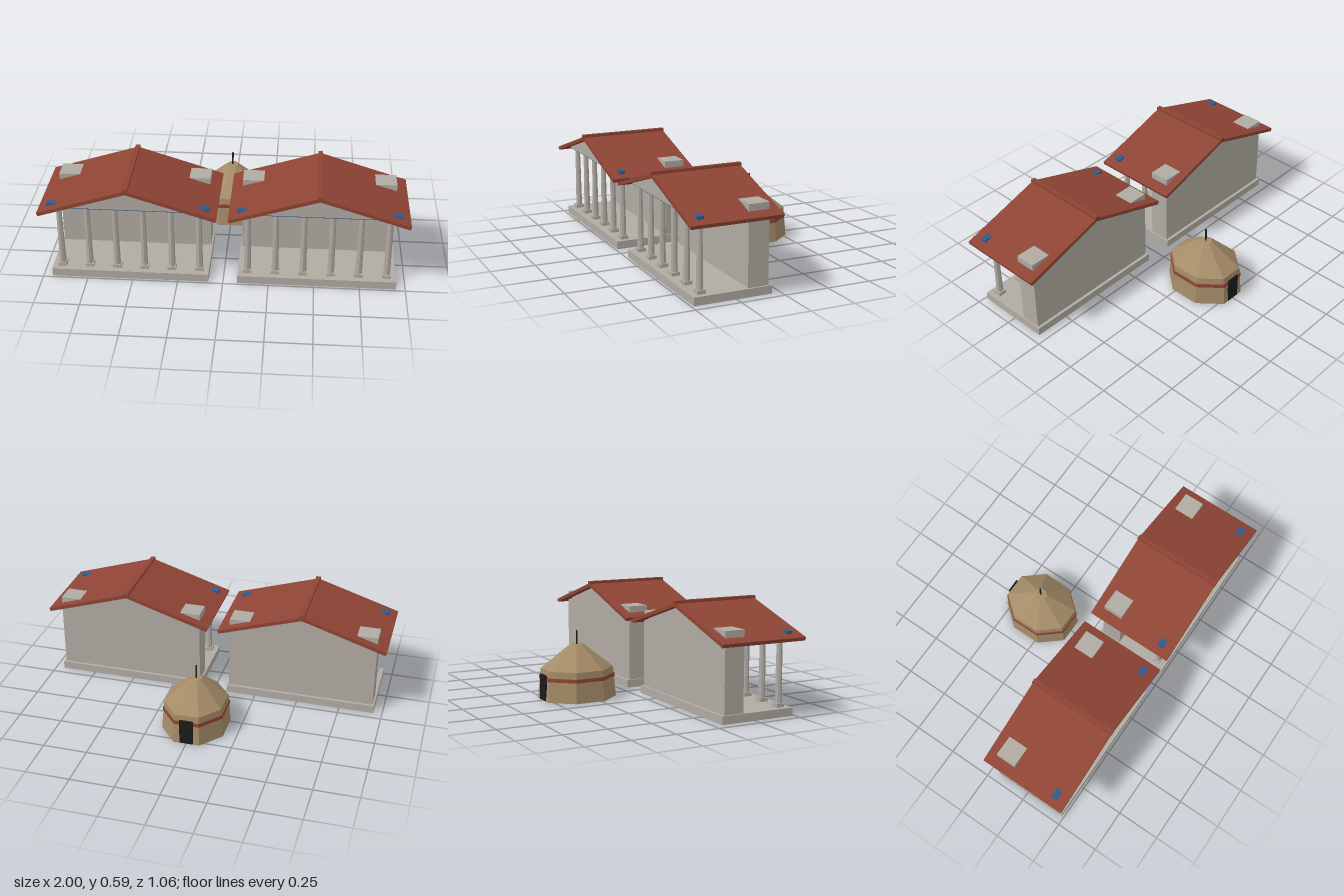
import * as THREE from 'three';

const mat = (name, color, flatShading = true) => {
  const m = new THREE.MeshStandardMaterial({ color, flatShading });
  m.name = name;
  return m;
};

export function createModel() {
  const stone = mat('stone grey', 0xb0aaa2);
  const red = mat('tile red', 0x8e4434);
  const blue = mat('beam blue', 0x2a5c92);
  const tan = mat('tent tan', 0xa58c68);
  const black = mat('black', 0x1c1b1a);

  const add = (parent, name, geo, material) => {
    const mesh = new THREE.Mesh(geo, material);
    mesh.name = name;
    parent.add(mesh);
    return mesh;
  };
  // Box from its minimum and maximum corners
  const box = (parent, name, material, [x0, y0, z0], [x1, y1, z1]) => {
    const mesh = add(parent, name, new THREE.BoxGeometry(x1 - x0, y1 - y0, z1 - z0), material);
    mesh.position.set((x0 + x1) / 2, (y0 + y1) / 2, (z0 + z1) / 2);
    return mesh;
  };
  // Outline in x and y, extruded from z0 to z1
  const prism = (parent, name, material, points, z0, z1) => {
    const shape = new THREE.Shape(points.map(([x, y]) => new THREE.Vector2(x, y)));
    const geo = new THREE.ExtrudeGeometry(shape, { depth: z1 - z0, bevelEnabled: false });
    return add(parent, name, geo.translate(0, 0, z0), material);
  };

  const makeTemple = (x, name) => {
    const temple = new THREE.Group();
    temple.name = name;
    temple.position.x = x;

    box(temple, 'plinth', stone, [-0.435, 0, 0.05], [0.435, 0.045, 0.487]);
    box(temple, 'backWall', stone, [-0.425, 0.045, 0.067], [0.425, 0.481, 0.183]);
    box(temple, 'beam', blue, [-0.44, 0.428, 0.434], [0.44, 0.455, 0.468]);

    // Six columns on square feet
    for (let i = 0; i < 6; i++) {
      const column = new THREE.Group();
      column.name = 'column' + (i + 1);
      column.position.set((i - 2.5) * 0.153, 0, 0.431);
      box(column, 'columnFoot', stone, [-0.023, 0.045, -0.023], [0.023, 0.065, 0.023]);
      add(column, 'columnShaft', new THREE.CylinderGeometry(0.015, 0.019, 0.365, 8), stone)
        .position.y = 0.2475;
      temple.add(column);
    }

    // Gable under a pitched roof with a ridge strip
    prism(temple, 'gable', stone, [[-0.36, 0.445], [0.36, 0.445], [0, 0.559]], 0.055, 0.49);
    prism(temple, 'roof', red, [
      [-0.485, 0.425], [-0.479, 0.406], [0, 0.557],
      [0.479, 0.406], [0.485, 0.425], [0, 0.578],
    ], 0.015, 0.523);
    box(temple, 'ridge', red, [-0.013, 0.566, 0.012], [0.013, 0.589, 0.527]);
    return temple;
  };

  // Eight-sided drum with flats facing the axes; radii measured to the flats
  const drum = (parent, name, material, rTop, rBottom, y0, y1) => {
    const k = 1 / Math.cos(Math.PI / 8);
    const geo = new THREE.CylinderGeometry(rTop * k, rBottom * k, y1 - y0, 8);
    geo.rotateY(Math.PI / 8).scale(0.843, 1, 1).translate(0, (y0 + y1) / 2, 0);
    return add(parent, name, geo, material);
  };

  const makeTent = () => {
    const tent = new THREE.Group();
    tent.name = 'roundTent';
    tent.position.z = -0.317;
    drum(tent, 'tentWall', tan, 0.194, 0.21, 0, 0.172);
    drum(tent, 'tentRoof', tan, 0.037, 0.194, 0.172, 0.304);
    drum(tent, 'tentBand', red, 0.203, 0.204, 0.115, 0.135);
    add(tent, 'tentPole', new THREE.CylinderGeometry(0.005, 0.005, 0.08, 8), black)
      .position.y = 0.341;
    box(tent, 'tentDoor', black, [-0.038, 0.002, -0.212], [0.038, 0.147, -0.203]);
    return tent;
  };

  const model = new THREE.Group();
  model.name = 'templesAndTent';
  model.add(makeTemple(0.515, 'leftTemple'), makeTemple(-0.515, 'rightTemple'), makeTent());
  return model;
}
